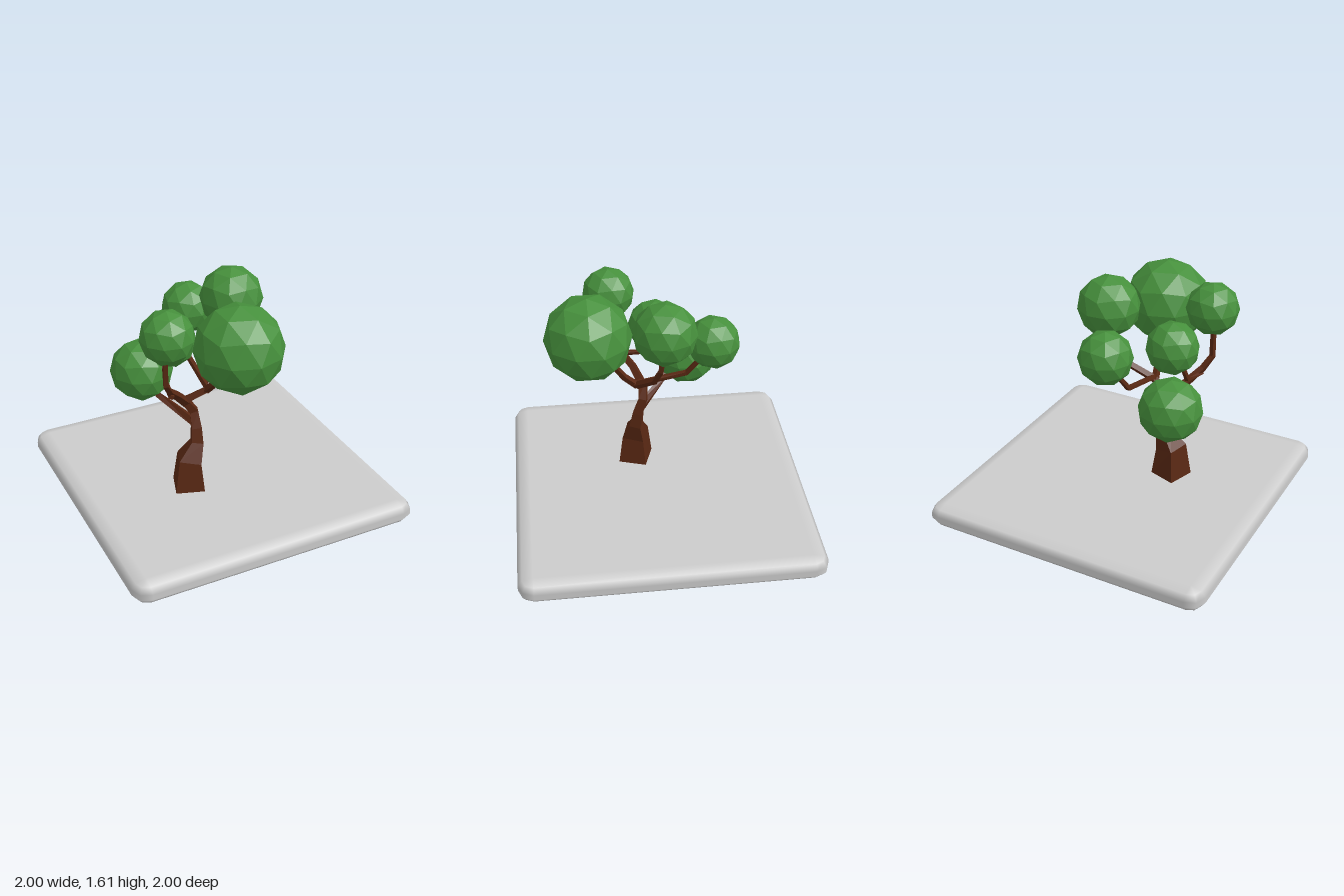
import * as THREE from 'three';

const bark = new THREE.MeshStandardMaterial({ color: 0x592813, flatShading: true });
const leaf = new THREE.MeshStandardMaterial({ color: 0x46903c, flatShading: true });
const stone = new THREE.MeshStandardMaterial({ color: 0xcccccc });

// Joins equal-length rings of vertices (listed upwards, counter-clockwise along the path) and caps both ends.
function loftIndex(ringCount, n) {
  const index = [];
  for (let r = 0; r < ringCount - 1; r++) {
    for (let i = 0; i < n; i++) {
      const a = r * n + i, b = r * n + (i + 1) % n;
      index.push(a, b, b + n, a, b + n, a + n);
    }
  }
  const top = (ringCount - 1) * n;
  for (let i = 1; i < n - 1; i++) {
    index.push(0, i + 1, i);
    index.push(top, top + i, top + i + 1);
  }
  return index;
}

// Four-sided tapering limb through points [x, y, z, radius].
function limb(name, points) {
  const p = points.map(([x, y, z]) => new THREE.Vector3(x, y, z));
  const ridge = new THREE.Vector3(0.45, 0, 0.89);
  const pos = [];
  points.forEach((pt, k) => {
    const t = new THREE.Vector3();
    if (k > 0) t.add(p[k].clone().sub(p[k - 1]).normalize());
    if (k < p.length - 1) t.add(p[k + 1].clone().sub(p[k]).normalize());
    t.normalize();
    const u = ridge.clone().addScaledVector(t, -ridge.dot(t)).normalize();
    const v = t.clone().cross(u);
    for (let i = 0; i < 4; i++) {
      const a = i * Math.PI / 2;
      const c = p[k].clone().addScaledVector(u, pt[3] * Math.cos(a)).addScaledVector(v, pt[3] * Math.sin(a));
      pos.push(c.x, c.y, c.z);
    }
  });
  const g = new THREE.BufferGeometry();
  g.setAttribute('position', new THREE.Float32BufferAttribute(pos, 3));
  g.setIndex(loftIndex(p.length, 4));
  g.computeVertexNormals();
  const mesh = new THREE.Mesh(g, bark);
  mesh.name = name;
  return mesh;
}

// Square slab with softly bevelled edges and corners.
function groundSlab() {
  const bevel = 0.1, rise = 0.055, half = 0.075, inner = 0.9;
  const pos = [], nor = [];
  const levels = [[-90, -1], [-45, -1], [0, -1], [0, 1], [45, 1], [90, 1]];
  for (const [deg, side] of levels) {
    const a = THREE.MathUtils.degToRad(deg);
    for (let q = 0; q < 4; q++) {
      const mid = (q + 0.5) * Math.PI / 2;
      for (let s = 0; s < 3; s++) {
        const b = q * Math.PI / 2 + s * Math.PI / 4;
        const r = bevel * Math.cos(a);
        pos.push(
          Math.sign(Math.sin(mid)) * inner + r * Math.sin(b),
          half + side * (half - rise) + rise * Math.sin(a),
          Math.sign(Math.cos(mid)) * inner + r * Math.cos(b));
        const n = new THREE.Vector3(
          Math.cos(a) * Math.sin(b) / bevel, Math.sin(a) / rise, Math.cos(a) * Math.cos(b) / bevel).normalize();
        nor.push(n.x, n.y, n.z);
      }
    }
  }
  const g = new THREE.BufferGeometry();
  g.setAttribute('position', new THREE.Float32BufferAttribute(pos, 3));
  g.setAttribute('normal', new THREE.Float32BufferAttribute(nor, 3));
  g.setIndex(loftIndex(levels.length, 12));
  const mesh = new THREE.Mesh(g, stone);
  mesh.name = 'groundSlab';
  return mesh;
}

export function createModel() {
  const model = new THREE.Group();
  model.name = 'treeOnSlab';
  model.add(groundSlab());

  // Trunk with a flared foot, and the limbs that fork from it
  const tree = new THREE.Group();
  tree.name = 'tree';
  tree.add(
    limb('trunk', [
      [-0.262, 0.14, 0.137, 0.138], [-0.257, 0.36, 0.137, 0.105], [-0.198, 0.48, 0.135, 0.055],
      [-0.195, 0.58, 0.12, 0.047], [-0.195, 0.69, 0.085, 0.038], [-0.265, 0.79, 0.075, 0.034]]),
    limb('leftFrontBranch', [
      [-0.245, 0.76, 0.075, 0.034], [-0.34, 0.87, 0.14, 0.03], [-0.43, 0.97, 0.235, 0.025],
      [-0.475, 1.05, 0.28, 0.022], [-0.475, 1.28, 0.285, 0.018]]),
    limb('rightBranch', [
      [-0.27, 0.78, 0.08, 0.03], [-0.12, 0.86, 0.135, 0.028], [0.05, 1.0, 0.03, 0.024],
      [0.14, 1.13, 0.0, 0.022], [0.15, 1.27, -0.01, 0.018]]),
    limb('frontBranch', [
      [-0.13, 0.85, 0.13, 0.026], [-0.11, 0.94, 0.22, 0.024], [-0.1, 1.03, 0.28, 0.022], [-0.08, 1.15, 0.31, 0.02]]),
    limb('backBranch', [
      [-0.12, 0.87, 0.15, 0.022], [-0.105, 0.945, -0.2, 0.02], [-0.07, 1.12, -0.33, 0.016]]),
    limb('middleBranch', [
      [-0.42, 0.93, 0.24, 0.02], [-0.39, 0.95, 0.08, 0.019], [-0.375, 1.08, 0.02, 0.017]]),
    limb('lowBranch', [
      [-0.195, 0.61, 0.11, 0.035], [-0.37, 0.76, -0.09, 0.025], [-0.41, 0.83, -0.2, 0.02]]));

  // Faceted leaf clusters: x, y, z, radius
  const clusters = [
    [-0.055, 1.295, 0.45, 0.288], [0.13, 1.405, -0.025, 0.208], [-0.03, 1.222, -0.362, 0.177],
    [-0.425, 0.895, -0.24, 0.21], [-0.32, 1.2, -0.005, 0.176], [-0.462, 1.388, 0.286, 0.175]];
  clusters.forEach(([x, y, z, r], i) => {
    const ball = new THREE.Mesh(new THREE.IcosahedronGeometry(r, 1), leaf);
    ball.name = 'leafCluster' + (i + 1);
    ball.position.set(x, y, z);
    ball.rotation.set(0, i * 0.4, -0.5536);
    tree.add(ball);
  });
  model.add(tree);
  return model;
}
